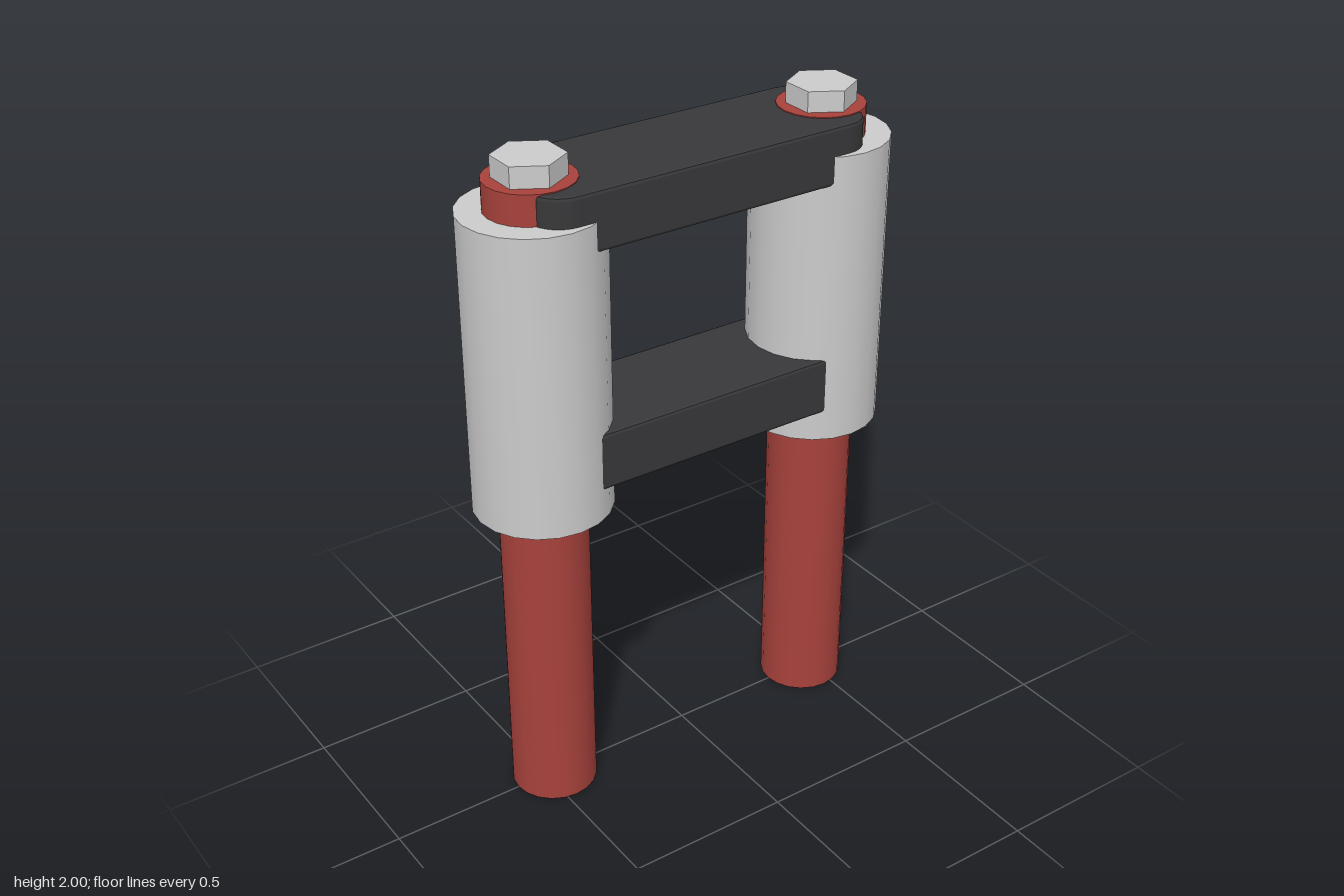
import * as THREE from 'three';

const red = new THREE.MeshStandardMaterial({ color: 0xa8423c });
const dark = new THREE.MeshStandardMaterial({ color: 0x38383a, flatShading: true });
const grey = new THREE.MeshStandardMaterial({ color: 0xcccccc });
const greyFlat = new THREE.MeshStandardMaterial({ color: 0xcccccc, flatShading: true });

// Upright cylinder between two heights
function post(name, radius, y0, y1, sides, material) {
  const mesh = new THREE.Mesh(new THREE.CylinderGeometry(radius, radius, y1 - y0, sides), material);
  mesh.position.y = (y0 + y1) / 2;
  mesh.name = name;
  return mesh;
}

// Horizontal plate with rounded corners in plan and a small bevel on its rims
function plate(name, y0, y1) {
  const b = 0.01, w = 0.525 - b, d = 0.177 - b, r = 0.08;
  const s = new THREE.Shape();
  s.moveTo(-w + r, -d);
  s.lineTo(w - r, -d);
  s.absarc(w - r, -d + r, r, -Math.PI / 2, 0, false);
  s.absarc(w - r, d - r, r, 0, Math.PI / 2, false);
  s.absarc(-w + r, d - r, r, Math.PI / 2, Math.PI, false);
  s.absarc(-w + r, -d + r, r, Math.PI, Math.PI * 1.5, false);
  const geometry = new THREE.ExtrudeGeometry(s, {
    depth: y1 - y0 - 2 * b, curveSegments: 4,
    bevelEnabled: true, bevelSize: b, bevelThickness: b, bevelSegments: 2,
  });
  geometry.rotateX(-Math.PI / 2);
  geometry.translate(0, y0 + b, 0);
  const mesh = new THREE.Mesh(geometry, dark);
  mesh.name = name;
  return mesh;
}

export function createModel() {
  const model = new THREE.Group();
  model.name = 'twinTubeFork';

  // Two mirrored legs: inner tube, outer sleeve and hexagonal cap bolt
  for (const side of [-1, 1]) {
    const leg = new THREE.Group();
    leg.name = side > 0 ? 'leftLeg' : 'rightLeg';
    leg.position.x = side * 0.47;
    leg.add(
      post('innerTube', 0.127, 0, 1.94, 20, red),
      post('outerSleeve', 0.2, 0.97, 1.853, 20, grey),
      post('capBolt', 0.1, 1.92, 2, 6, greyFlat),
    );
    model.add(leg);
  }

  // Clamping plates joining the legs
  model.add(plate('upperClamp', 1.767, 1.937), plate('lowerClamp', 1.06, 1.233));
  return model;
}
